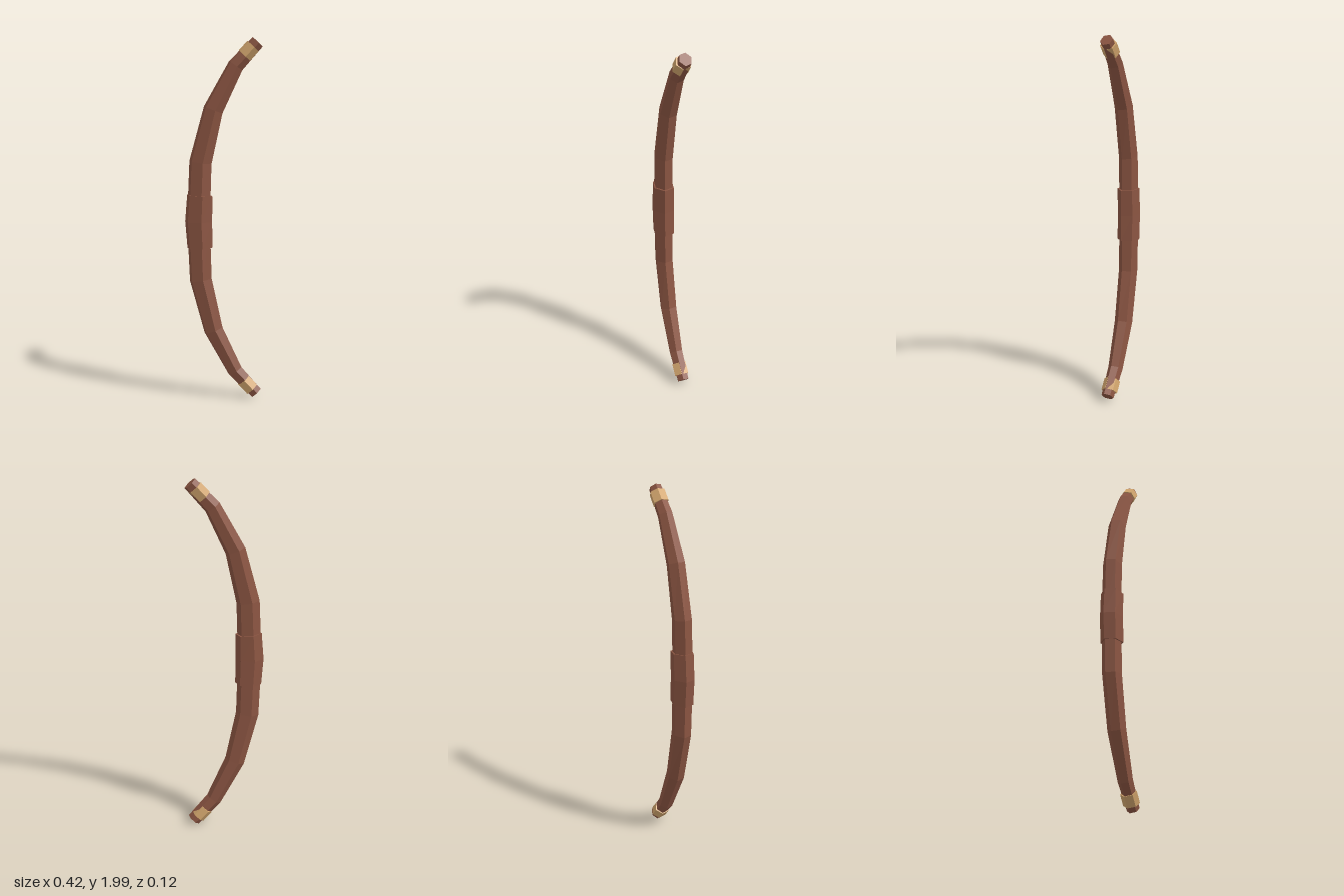
import * as THREE from 'three';

const SIDES = 6;
const TURN = THREE.MathUtils.degToRad(16); // twist of the hexagonal section

// Sweep a hexagon along stations [x, y, in-plane radius, z radius], closed at both ends.
function sweep(stations) {
  const positions = [];
  const indices = [];
  const last = stations.length - 1;
  stations.forEach(([x, y, rn, rz], s) => {
    const [px, py] = stations[Math.max(s - 1, 0)];
    const [nx, ny] = stations[Math.min(s + 1, last)];
    const before = new THREE.Vector2(x - px, y - py).normalize();
    const after = new THREE.Vector2(nx - x, ny - y).normalize();
    const t = before.add(after).normalize();
    for (let i = 0; i < SIDES; i++) {
      const a = TURN + (i / SIDES) * Math.PI * 2;
      const n = Math.cos(a) * rn;
      positions.push(x + t.y * n, y - t.x * n, Math.sin(a) * rz);
    }
  });
  for (let s = 0; s < last; s++) {
    for (let i = 0; i < SIDES; i++) {
      const a = s * SIDES + i;
      const b = s * SIDES + ((i + 1) % SIDES);
      indices.push(a, a + SIDES, b, b, a + SIDES, b + SIDES);
    }
  }
  const top = last * SIDES;
  for (let i = 1; i < SIDES - 1; i++) {
    indices.push(0, i, i + 1, top, top + i + 1, top + i);
  }
  const indexed = new THREE.BufferGeometry();
  indexed.setAttribute('position', new THREE.Float32BufferAttribute(positions, 3));
  indexed.setIndex(indices);
  const geometry = indexed.toNonIndexed();
  geometry.computeVertexNormals();
  return geometry;
}

// Complete an upper half (starting at y = 1) with its mirrored lower half.
function mirrored(upper) {
  const lower = upper.slice(1).reverse().map(([x, y, rn, rz]) => [x, 2 - y, rn, rz]);
  return [...lower, ...upper];
}

export function createModel() {
  const wood = new THREE.MeshStandardMaterial({ color: 0x8b5542, flatShading: true });
  wood.name = 'brown wood';
  const binding = new THREE.MeshStandardMaterial({ color: 0xd2a56d, flatShading: true });
  binding.name = 'tan binding';

  const bow = new THREE.Group();
  bow.name = 'bow';
  const add = (name, stations, material) => {
    const mesh = new THREE.Mesh(sweep(stations), material);
    mesh.name = name;
    bow.add(mesh);
  };

  // Curved stave, tapering to both tips
  add('stave', mirrored([
    [-0.14, 1, 0.066, 0.052],
    [-0.128, 1.325, 0.064, 0.051],
    [-0.058, 1.61, 0.056, 0.049],
    [0.063, 1.845, 0.045, 0.04],
    [0.18, 1.97, 0.038, 0.034],
  ]), wood);

  // Thicker handle sleeve
  add('grip', mirrored([
    [-0.139, 1, 0.078, 0.061],
    [-0.132, 1.145, 0.073, 0.06],
  ]), wood);

  // Bindings near the tips
  const upperBinding = [
    [0.109, 1.898, 0.043, 0.045],
    [0.155, 1.948, 0.043, 0.045],
  ];
  add('upperBinding', upperBinding, binding);
  add('lowerBinding', upperBinding.map(([x, y, rn, rz]) => [x, 2 - y, rn, rz]).reverse(), binding);

  return bow;
}
